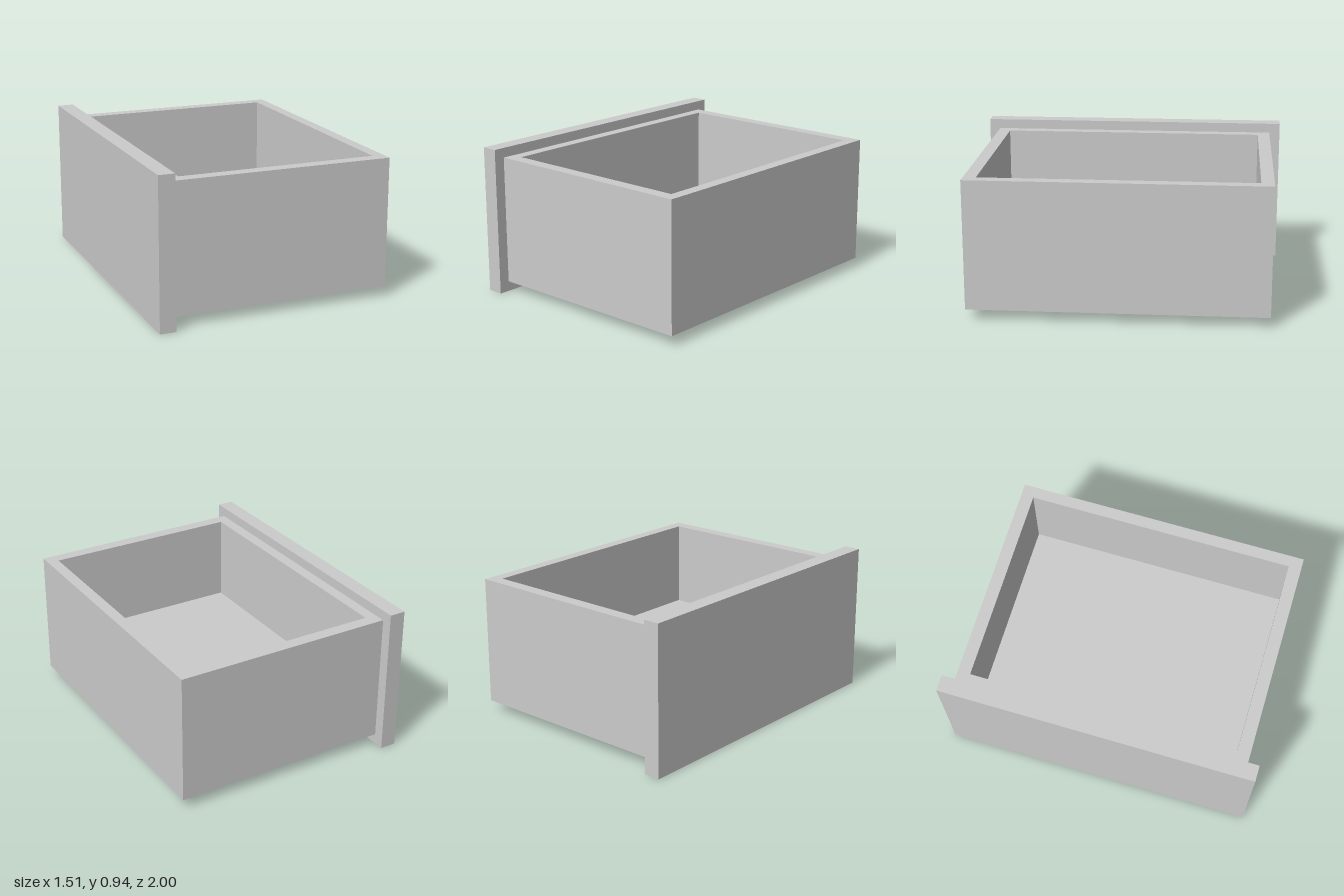
import * as THREE from 'three';

const material = new THREE.MeshStandardMaterial({ color: 0xcccccc, flatShading: true });

// Rectangle path in the x/z plane, drawn as x/y for extrusion
function rectangle(path, x0, x1, halfDepth) {
  path.moveTo(x0, -halfDepth);
  path.lineTo(x1, -halfDepth);
  path.lineTo(x1, halfDepth);
  path.lineTo(x0, halfDepth);
  path.closePath();
  return path;
}

// Box given by its minimum and maximum corners
function box(name, min, max) {
  const size = max.map((v, i) => v - min[i]);
  const mesh = new THREE.Mesh(new THREE.BoxGeometry(...size), material);
  mesh.position.set(...max.map((v, i) => (v + min[i]) / 2));
  mesh.name = name;
  return mesh;
}

export function createModel() {
  const drawer = new THREE.Group();
  drawer.name = 'drawer';

  const bottom = 0.065, top = 0.883, floorTop = 0.327;
  const outer = [-0.65, 0.753, 0.93];
  const inner = [-0.577, 0.68, 0.85];

  // Four walls as one upright frame
  const frame = rectangle(new THREE.Shape(), ...outer);
  frame.holes.push(rectangle(new THREE.Path(), ...inner));
  const wallGeometry = new THREE.ExtrudeGeometry(frame, { depth: top - bottom, bevelEnabled: false });
  wallGeometry.rotateX(-Math.PI / 2);
  const walls = new THREE.Mesh(wallGeometry, material);
  walls.position.y = bottom;
  walls.name = 'walls';
  drawer.add(walls);

  // Thick floor fitted between the walls
  drawer.add(box('floor', [inner[0], bottom, -inner[2]], [inner[1], floorTop, inner[2]]));

  // Overhanging face panel
  drawer.add(box('facePanel', [-0.753, 0, -1], [-0.65, 0.945, 1]));

  return drawer;
}
